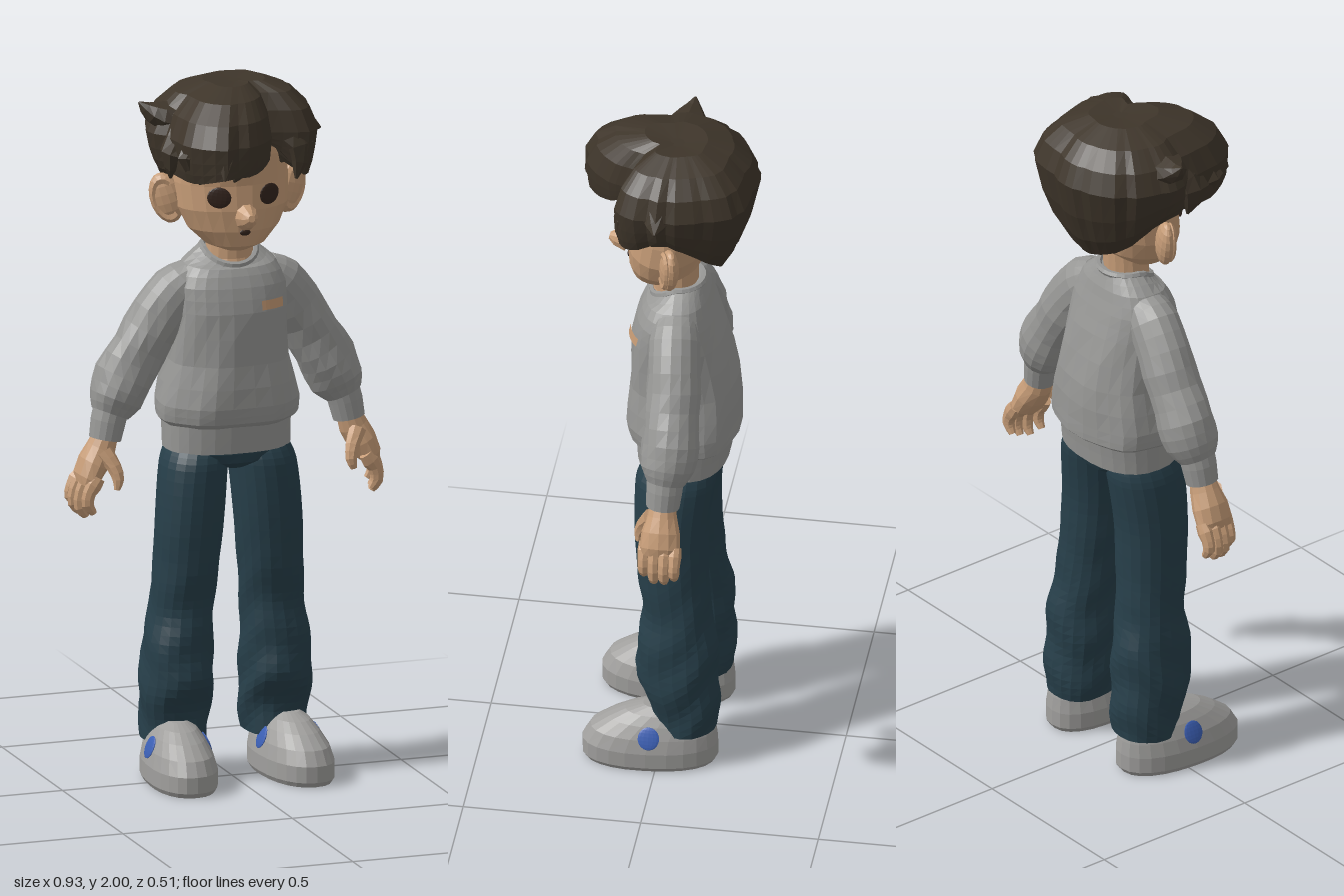
import * as THREE from 'three';

const V = (x, y, z) => new THREE.Vector3(x, y, z);
const mat = (name, color) => Object.assign(new THREE.MeshStandardMaterial({ color }), { name });

// Faceted normals; side -1 mirrors the geometry to the model's right
function finish(geo, side = 1) {
  const g = geo.index ? geo.toNonIndexed() : geo;
  const p = g.attributes.position;
  if (side < 0) {
    for (let i = 0; i < p.count; i += 3) {
      const t = [0, 2, 1].map(k => V(0, 0, 0).fromBufferAttribute(p, i + k));
      t.forEach((v, k) => p.setXYZ(i + k, -v.x, v.y, v.z));
    }
  }
  g.deleteAttribute('uv');
  g.computeVertexNormals();
  return g;
}

// Skins a stack of closed rings and caps both ends
function skin(rings) {
  const n = rings[0].length, m = rings.length, pos = [], idx = [];
  rings.forEach(r => r.forEach(v => pos.push(v.x, v.y, v.z)));
  for (const r of [rings[0], rings[m - 1]]) {
    const c = r.reduce((a, v) => a.add(v), V(0, 0, 0)).divideScalar(n);
    pos.push(c.x, c.y, c.z);
  }
  for (let j = 0; j < n; j++) {
    const k = (j + 1) % n;
    for (let i = 0; i < m - 1; i++) {
      const a = i * n + j, b = i * n + k, c = a + n, d = b + n;
      idx.push(a, c, b, b, c, d);
    }
    idx.push(m * n, j, k, m * n + 1, (m - 1) * n + k, (m - 1) * n + j);
  }
  const g = new THREE.BufferGeometry();
  g.setAttribute('position', new THREE.Float32BufferAttribute(pos, 3));
  g.setIndex(idx);
  return g;
}

// Sections [x, y, z, radiusA, radiusB], upright or following their path
function loft(sections, { seg = 16, sub = 1, follow = false, power = 2, deform } = {}) {
  const path = new THREE.CatmullRomCurve3(sections.map(s => V(s[0], s[1], s[2])));
  const size = new THREE.CatmullRomCurve3(sections.map(s => V(s[3], s[4], 0)));
  const steps = (sections.length - 1) * sub, rings = [];
  const round = c => Math.sign(c) * Math.abs(c) ** (2 / power);
  for (let i = 0; i <= steps; i++) {
    const c = path.getPoint(i / steps), r = size.getPoint(i / steps);
    const T = follow ? path.getTangent(i / steps) : V(0, 1, 0);
    const B = V(0, 0, 1).addScaledVector(T, -T.z).normalize(), A = T.clone().cross(B);
    rings.push(Array.from({ length: seg }, (_, j) => {
      const a = j / seg * Math.PI * 2;
      const v = c.clone().addScaledVector(A, round(Math.cos(a)) * r.x).addScaledVector(B, round(Math.sin(a)) * r.y);
      if (deform) deform(v, c, a);
      return v;
    }));
  }
  return skin(rings);
}

const blob = (x, y, z, sx, sy, sz, ry = 0, rz = 0) =>
  new THREE.SphereGeometry(1, 14, 9).scale(sx, sy, sz).rotateZ(rz).rotateY(ry).translate(x, y, z);

// Hair outline seen from above: [x, z, rim factor, rim height]
const hairOutline = [
  [.245, 0, .87, 1.77], [.22, .09, .9, 1.74], [.185, .125, .92, 1.74], [.085, .105, .95, 1.83],
  [.06, .16, .95, 1.8], [0, .22, .95, 1.78], [-.1, .25, 1, 1.78], [-.185, .18, .92, 1.755],
  [-.205, .07, .95, 1.76], [-.238, -.03, .88, 1.76], [-.22, -.1, .78, 1.71], [-.19, -.17, .72, 1.66],
  [-.1, -.235, .62, 1.62], [-.02, -.257, .58, 1.605], [.08, -.243, .62, 1.615], [.165, -.225, .66, 1.65],
  [.205, -.16, .75, 1.69], [.23, -.08, .82, 1.74]];

function hairCap() {
  const n = 54, cx = .02, cz = -.03;
  const edge = new THREE.CatmullRomCurve3(hairOutline.map(h => V(h[0], 0, h[1])), true);
  const rim = new THREE.CatmullRomCurve3(hairOutline.map(h => V(h[2], h[3], 0)), true);
  // Grooves of uneven depth run from the crown to the rim
  const ring = f => Array.from({ length: n }, (_, j) => {
    const e = edge.getPoint(j / n), r = rim.getPoint(j / n);
    const [k, y] = f(r.x, r.y);
    const s = k * (1 - (j % 4 === 1 ? .03 + .025 * Math.sin(j * 2.3) : 0) * k);
    return V(cx + (e.x - cx) * s, y, cz + (e.z - cz) * s);
  });
  return skin([
    ring((r, y) => [r * .72, y + .03]), ring((r, y) => [r, y]),
    ring((r, y) => [r * .6 + .4, y * .75 + 1.86 * .25]), ring((r, y) => [r * .25 + .75, y * .4 + 1.86 * .6]),
    ring(() => [1, 1.865]), ring(() => [.89, 1.925]), ring(() => [.68, 1.972]),
    ring(() => [.36, 1.998]), ring(() => [.08, 1.992])]);
}

export function createModel() {
  const model = new THREE.Group();
  model.name = 'boy';
  const skinTone = mat('skin', 0xc79d78), hair = mat('hair', 0x3e352a), knit = mat('sweater', 0x979795),
    denim = mat('denim', 0x273f4a), shoeGrey = mat('shoe', 0xa09f9d), dark = mat('eye', 0x33241d),
    blue = mat('shoePatch', 0x3b5fb4), tan = mat('chestPatch', 0xc59a74);
  const add = (name, geo, material, side) => {
    const mesh = new THREE.Mesh(finish(geo, side), material);
    mesh.name = name;
    model.add(mesh);
  };

  // Head and neck
  add('head', loft([[0, 1.525, .03, .035, .035], [0, 1.545, .024, .085, .076], [0, 1.59, .008, .132, .102],
    [0, 1.65, 0, .16, .112], [0, 1.72, -.012, .166, .116], [0, 1.8, -.02, .16, .13], [0, 1.88, -.02, .13, .12],
    [0, 1.94, -.02, .06, .06]], { seg: 22 }), skinTone);
  add('neck', loft([[0, 1.45, -.01, .08, .066], [0, 1.495, -.022, .068, .062], [0, 1.6, -.025, .062, .062]]), skinTone);
  add('nose', loft([[0, 1.636, .09, .046, .052], [0, 1.634, .122, .034, .038], [0, 1.636, .15, .023, .025],
    [0, 1.64, .166, .01, .01]], { seg: 10, follow: true }), skinTone);
  add('mouth', blob(0, 1.588, .11, .016, .009, .005), dark);

  // Hair with its loose locks
  add('hair', hairCap(), hair);
  const locks = [
    [[-.06, 1.93, -.02, .04, .05], [-.17, 1.905, -.025, .045, .065], [-.225, 1.92, -.03, .032, .04], [-.262, 1.95, -.035, .003, .003]],
    [[.12, 1.9, -.01, .06, .05], [.21, 1.86, 0, .04, .045], [.262, 1.84, 0, .003, .003]],
    [[-.05, 1.9, .12, .05, .04], [-.085, 1.85, .205, .042, .035], [-.11, 1.78, .25, .004, .004]],
    [[.12, 1.88, .06, .05, .04], [.165, 1.82, .1, .042, .03], [.15, 1.73, .112, .004, .004]],
    [[-.12, 1.87, .1, .05, .04], [-.175, 1.82, .14, .035, .035], [-.14, 1.745, .135, .004, .004]],
    [[-.02, 1.88, .14, .05, .04], [-.02, 1.82, .18, .04, .025], [-.05, 1.75, .16, .004, .004]],
    [[-.16, 1.87, .04, .04, .04], [-.2, 1.82, .06, .03, .05], [-.195, 1.745, .04, .004, .004]]];
  locks.forEach(t => add('hairLock', loft(t, { seg: 7, sub: 2, follow: true }), hair));

  // Sweater body with blouson hem; the neckline dips at the front
  const dip = z => Math.max(0, z + .03) * .6;
  add('sweaterBody', loft([[0, 1.02, -.05, .18, .135], [0, 1.035, -.05, .198, .153], [0, 1.08, -.045, .2, .157],
    [0, 1.2, -.046, .172, .15], [0, 1.35, -.03, .165, .13], [0, 1.42, -.027, .163, .11],
    [0, 1.48, -.03, .132, .088], [0, 1.525, -.03, .077, .07]], {
    seg: 26, sub: 2, power: 2.4, deform: (v, c, a) => {
      if (v.y > 1.47) v.y -= dip(v.z) * (v.y - 1.47) / .055;
      if (v.y < 1.3) v.lerp(c, .02 * Math.sin(a * 7 + v.y * 9));
    },
  }), knit);
  add('sweaterHem', loft([[0, .945, -.047, .18, .128], [0, .99, -.048, .181, .132], [0, 1.04, -.05, .182, .137]],
    { seg: 26, power: 2.4 }), knit);
  const neckline = Array.from({ length: 16 }, (_, i) => {
    const a = i / 8 * Math.PI, z = -.028 + .072 * Math.sin(a);
    return V(.076 * Math.cos(a), 1.522 - dip(z), z);
  });
  add('collar', new THREE.TubeGeometry(new THREE.CatmullRomCurve3(neckline, true), 24, .01, 6, true), knit);
  const patch = new THREE.PlaneGeometry(.072, .026, 6, 1).translate(.09, 1.37, 0), pp = patch.attributes.position;
  for (let i = 0; i < pp.count; i++) {
    const drop = (pp.getY(i) - 1.35) * .22;
    pp.setZ(i, -.023 - drop + .132 * (1 - (pp.getX(i) / .165) ** 2.4) ** (1 / 2.4));
  }
  add('chestPatch', patch, tan);

  // Trouser seat
  add('trouserSeat', loft([[0, .895, -.04, .04, .085], [0, .915, -.04, .1, .112], [0, .94, -.044, .15, .118],
    [0, .99, -.046, .15, .118]], { seg: 24, power: 2.6 }), denim);

  for (const side of [1, -1]) {
    const put = (name, geo, material) => add(name, geo, material, side);

    // Face sides
    put('eye', blob(.074, 1.692, .103, .034, .03, .006, .36, .12), dark);
    put('ear', blob(.183, 1.67, -.03, .046, .074, .026, .4, -.3), skinTone);
    put('earRim', new THREE.TorusGeometry(.034, .008, 5, 14, 4.4).rotateZ(-2.1).scale(1, 1.65, 1)
      .rotateZ(-.3).rotateY(.4).translate(.188, 1.67, -.016), skinTone);

    // Sleeve and cuff
    put('sleeve', loft([[.1, 1.445, -.035, .05, .058], [.145, 1.4, -.04, .078, .072], [.2, 1.33, -.047, .08, .074],
      [.255, 1.24, -.052, .078, .076], [.3, 1.16, -.052, .084, .08], [.328, 1.1, -.05, .077, .075],
      [.345, 1.06, -.045, .052, .055]], {
      sub: 2, follow: true, deform: (v, c, a) => {
        if (v.y < 1.35) v.lerp(c, .04 * Math.sin(a * 2 + v.y * 40));
      },
    }), knit);
    put('cuff', loft([[.34, 1.075, -.045, .05, .052], [.35, 1.04, -.043, .049, .051], [.36, .99, -.04, .045, .047]],
      { follow: true }), knit);

    // Hand, its fingers curled in more towards the front
    put('palm', loft([[.355, 1.01, -.04, .034, .034], [.372, .965, -.04, .042, .042], [.395, .925, -.04, .043, .054],
      [.415, .885, -.04, .036, .057], [.425, .865, -.04, .022, .05]], { seg: 12, follow: true }), skinTone);
    [[.004, -.018, .008], [-.026, -.006, -.006], [-.056, .002, 0], [-.084, .002, .014]].forEach(([z, x, up]) => {
      put('finger', loft([[.412 + x, .89, z, .02, .017], [.44 + x, .848, z, .02, .017], [.444 + x, .808 + up, z, .018, .016],
        [.427 + x, .782 + up, z, .01, .01]], { seg: 8, sub: 2, follow: true }), skinTone);
    });
    put('thumb', loft([[.375, .96, -.01, .026, .024], [.352, .92, .013, .021, .021], [.344, .885, .026, .017, .017],
      [.35, .858, .03, .009, .009]], { seg: 8, sub: 2, follow: true }), skinTone);

    // Trouser leg, slack at the knee with folds gathering towards the ankle
    put('trouserLeg', loft([[.148, .11, -.068, .09, .096], [.146, .2, -.066, .098, .1], [.146, .3, -.048, .1, .116],
      [.142, .4, -.049, .094, .11], [.133, .5, -.044, .089, .095], [.125, .6, -.034, .09, .1],
      [.115, .75, -.027, .094, .104], [.101, .9, -.036, .093, .112], [.088, .965, -.046, .081, .098]], {
      seg: 20, sub: 4, power: 2.2, deform: (v, c, a) => {
        const loose = THREE.MathUtils.clamp((.75 - v.y) * 2, 0, 1);
        v.lerp(c, .045 * loose * Math.sin(v.y * 38 + 2 * Math.sin(a * 2 + .6) + a));
      },
    }), denim);

    // Shoe
    put('shoe', loft([[0, .025, .088, .18], [.014, .025, .096, .189], [.06, .025, .096, .189], [.1, .016, .086, .175],
      [.135, -.005, .07, .146], [.16, -.02, .054, .115], [.176, -.03, .034, .075]]
      .map(([y, z, w, l]) => [.164, y, z, w, l]), { seg: 24, power: 2.3, deform: v => { v.x += v.z * .06; } }), shoeGrey);
    for (const s of [1, -1]) {
      put('shoePatch', blob(.165 + s * .0835, .107, .018, .0048, .033, .031, 0, s * .38), blue);
    }
  }
  return model;
}
